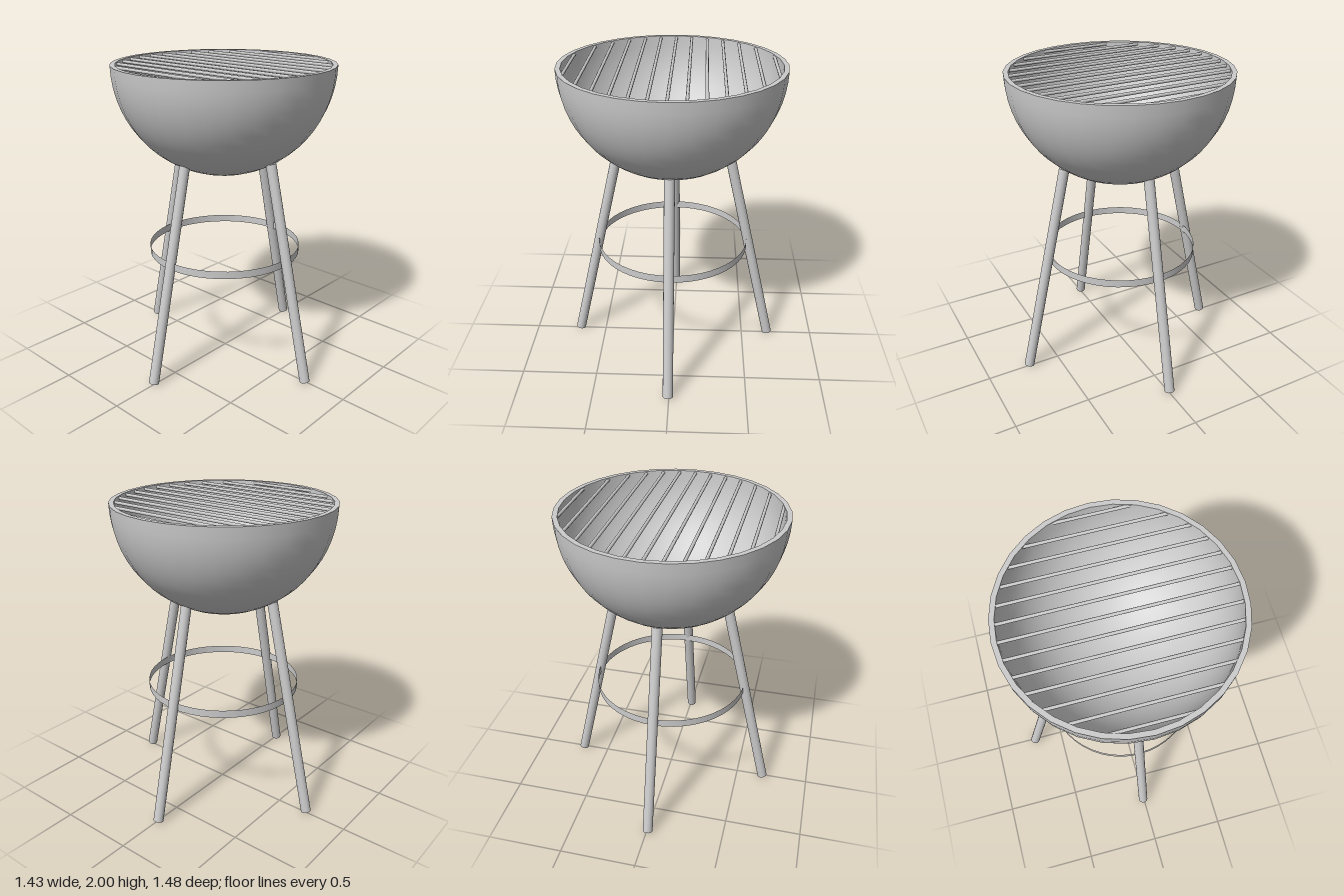
import * as THREE from 'three';
import { toCreasedNormals } from 'three/addons/utils/BufferGeometryUtils.js';

const CX = -0.007, CZ = -0.006; // axis of the bowl
const BOWL_R = 0.703, INNER_R = 0.672, TOP = 2;

export function createModel() {
  const group = new THREE.Group();
  const material = new THREE.MeshStandardMaterial({ color: 0xcccccc });
  const thin = new THREE.MeshStandardMaterial({ color: 0xcccccc, side: THREE.DoubleSide });

  const add = (name, geometry, mat = material) => {
    const mesh = new THREE.Mesh(geometry, mat);
    mesh.name = name;
    group.add(mesh);
    return mesh;
  };

  // A round rod between two points
  const rod = (name, a, b, radius, sides) => {
    const dir = b.clone().sub(a);
    const mesh = add(name, new THREE.CylinderGeometry(radius, radius, dir.length(), sides));
    mesh.position.copy(a).add(b).multiplyScalar(0.5);
    mesh.quaternion.setFromUnitVectors(new THREE.Vector3(0, 1, 0), dir.normalize());
    return mesh;
  };

  // Hollow half-sphere bowl: outer wall up, flat rim, inner wall down
  const profile = [];
  const steps = 16;
  for (let i = 0; i <= steps; i++) {
    const t = (i / steps) * Math.PI / 2;
    profile.push(new THREE.Vector2(BOWL_R * Math.sin(t), TOP - BOWL_R * Math.cos(t)));
  }
  for (let i = steps; i >= 0; i--) {
    const t = (i / steps) * Math.PI / 2;
    profile.push(new THREE.Vector2(INNER_R * Math.sin(t), TOP - INNER_R * Math.cos(t)));
  }
  const bowl = add('bowl', toCreasedNormals(new THREE.LatheGeometry(profile, 32), 0.7), thin);
  bowl.position.set(CX, 0, CZ);

  // Cooking grate: parallel bars cut to the circle of the rim
  for (let i = -6; i <= 6; i++) {
    const x = i * 0.1057;
    const half = Math.sqrt(0.676 ** 2 - x * x);
    rod('grateBar', new THREE.Vector3(CX + x, 1.985, CZ - half),
      new THREE.Vector3(CX + x, 1.985, CZ + half), 0.01, 10);
  }

  // Four splayed legs, ending inside the bowl wall
  for (const s of [-1, 1]) {
    rod('sideLeg', new THREE.Vector3(s * 0.684, 0.008, CZ),
      new THREE.Vector3(s * 0.362, 1.415, CZ), 0.033, 16);
    rod('frontBackLeg', new THREE.Vector3(CX, 0.008, s * 0.708),
      new THREE.Vector3(CX, 1.42, s * 0.386), 0.033, 16);
  }

  // Thin hoop bracing the legs
  const hoop = add('braceHoop', new THREE.CylinderGeometry(0.502, 0.502, 0.05, 48, 1, true), thin);
  hoop.position.set(-0.004, 0.78, -0.003);

  return group;
}
